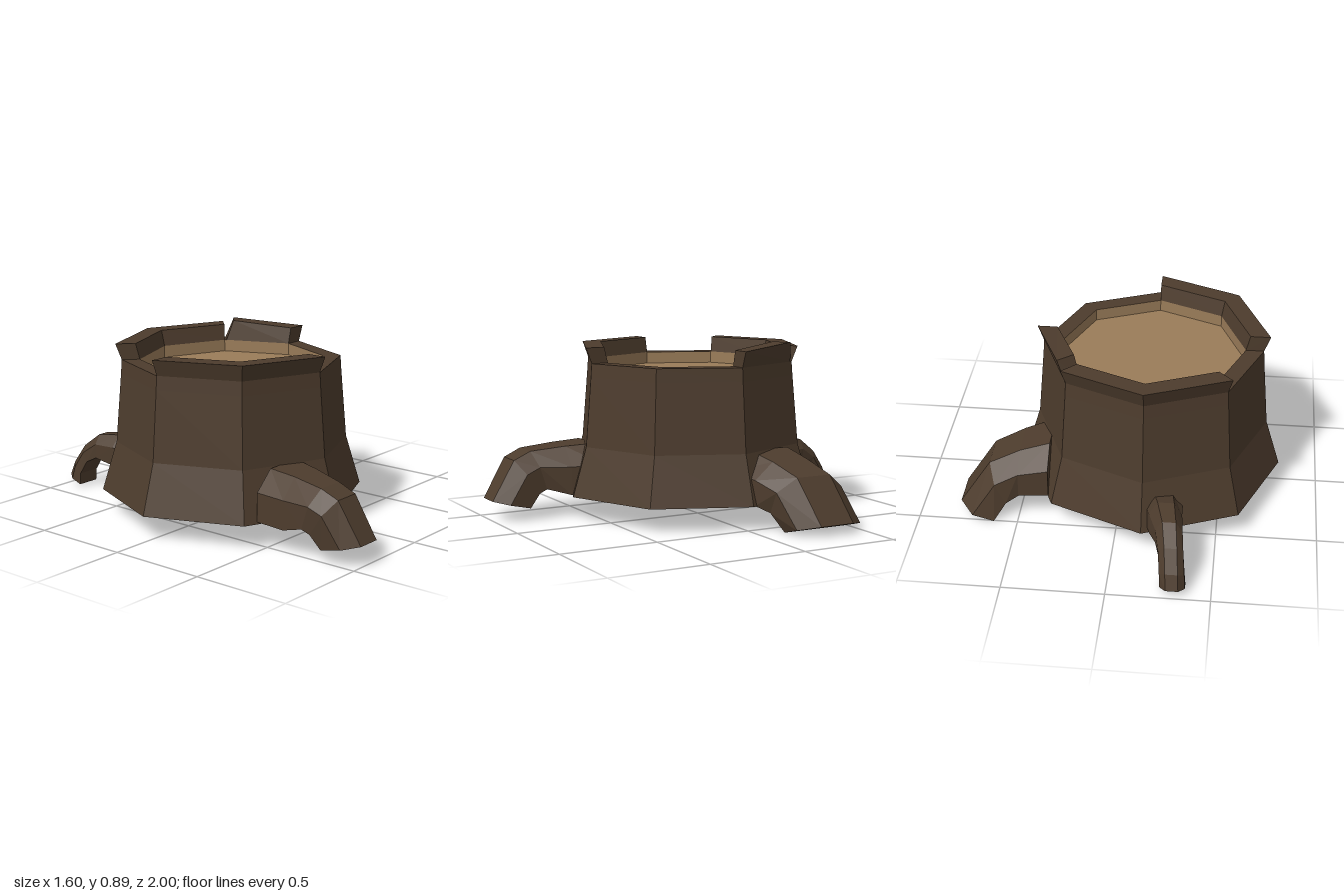
import * as THREE from 'three';

const CX = -0.14, CZ = -0.02; // trunk axis

// Skin closed rings of [x, y, z] points, with both ends capped and flat faces.
function loft(rings, flip = false) {
  const pos = [];
  const tri = (a, b, c) => pos.push(...a, ...(flip ? c : b), ...(flip ? b : c));
  const n = rings[0].length;
  for (let s = 0; s < rings.length - 1; s++) {
    for (let i = 0; i < n; i++) {
      const j = (i + 1) % n;
      const a = rings[s][i], b = rings[s][j], c = rings[s + 1][j], d = rings[s + 1][i];
      tri(a, b, c);
      tri(a, c, d);
    }
  }
  const first = rings[0], last = rings[rings.length - 1];
  for (let i = 1; i < n - 1; i++) {
    tri(first[0], first[i + 1], first[i]);
    tri(last[0], last[i], last[i + 1]);
  }
  const geo = new THREE.BufferGeometry();
  geo.setAttribute('position', new THREE.Float32BufferAttribute(pos, 3));
  geo.computeVertexNormals();
  return geo;
}

// Eight-sided turned shape with flat faces, placed on the trunk axis.
function octagonLathe(profile) {
  const geo = new THREE.LatheGeometry(profile.map(p => new THREE.Vector2(...p)), 8).toNonIndexed();
  geo.computeVertexNormals();
  return geo.translate(CX, 0, CZ);
}

// Point on side k of the octagon, t running from one corner to the next.
function onOctagon(k, t, r, y) {
  const a = k * Math.PI / 4, b = (k + 1) * Math.PI / 4;
  return [
    CX + r * THREE.MathUtils.lerp(Math.cos(a), Math.cos(b), t), y,
    CZ + r * THREE.MathUtils.lerp(Math.sin(a), Math.sin(b), t),
  ];
}

// One raised piece of bark; t and height may differ at its two ends.
function rimPiece(k, start = [0, 0, 0.87], end = [1, 1, 0.87]) {
  return loft([start, end].map(([tBottom, tTop, top]) => [
    onOctagon(k, tBottom, 0.46, 0.79),
    onOctagon(k, tBottom, 0.55, 0.79),
    onOctagon(k, tTop, 0.58, top),
    onOctagon(k, tTop, 0.48, top),
  ]));
}

// Root section: [top distance, top y, bottom distance, bottom y, half width, sideways centre]
const OUTLINE = [[-1, 0], [1, 0], [1, 0.6], [0.5, 1], [-0.5, 1], [-1, 0.6]];
function root(sections, place, flip) {
  return loft(sections.map(([td, ty, bd, by, w, c]) => OUTLINE.map(([l, h]) =>
    place(c + l * w, THREE.MathUtils.lerp(by, ty, h), THREE.MathUtils.lerp(bd, td, h)))), flip);
}

export function createModel() {
  const model = new THREE.Group();
  model.name = 'treeStump';
  const bark = new THREE.MeshStandardMaterial({ color: 0x4d3c2d });
  bark.name = 'bark';
  const wood = new THREE.MeshStandardMaterial({ color: 0x9a7c59 });
  wood.name = 'cutWood';
  const add = (name, geo, mat) => {
    const mesh = new THREE.Mesh(geo, mat);
    mesh.name = name;
    model.add(mesh);
  };

  // Trunk with closed underside and low rim
  add('trunk', octagonLathe([
    [0, 0.12], [0.66, 0.12], [0.585, 0.37], [0.555, 0.72], [0.55, 0.79], [0.46, 0.79],
  ]), bark);

  // Sunken cut face and its short wall
  add('cutFace', octagonLathe([[0.46, 0.79], [0.46, 0.73], [0, 0.73]]), wood);

  // Raised bark on five sides, the last one split off by a notch
  for (const k of [2, 3, 5, 6]) add('raisedBark', rimPiece(k), bark);
  add('splitBark', rimPiece(7, [0.03, 0.14, 0.893]), bark);

  // Roots
  add('frontRoot', root([
    [0.47, 0.37, 0.47, 0.13, 0.2, -0.34],
    [0.62, 0.36, 0.62, 0.12, 0.17, -0.365],
    [0.79, 0.34, 0.73, 0.15, 0.14, -0.40],
    [0.88, 0.30, 0.77, 0.13, 0.135, -0.395],
    [1.0, 0.10, 0.82, 0.06, 0.125, -0.385],
  ], (s, y, d) => [s, y, d], false), bark);

  add('leftRoot', root([
    [0.35, 0.37, 0.35, 0.125, 0.22, -0.21],
    [0.50, 0.33, 0.50, 0.12, 0.2, -0.24],
    [0.65, 0.27, 0.56, 0.09, 0.19, -0.28],
    [0.80, 0.05, 0.62, 0.0, 0.185, -0.32],
  ], (s, y, d) => [d, y, s], true), bark);

  add('backRoot', root([
    [0.50, 0.26, 0.50, 0.13, 0.1, -0.23],
    [0.67, 0.31, 0.70, 0.15, 0.08, -0.26],
    [0.80, 0.295, 0.80, 0.17, 0.065, -0.285],
    [0.90, 0.22, 0.86, 0.14, 0.06, -0.30],
    [0.97, 0.12, 0.90, 0.07, 0.06, -0.31],
    [1.0, 0.045, 0.90, 0.01, 0.06, -0.315],
  ], (s, y, d) => [s, y, -d], true), bark);

  return model;
}
